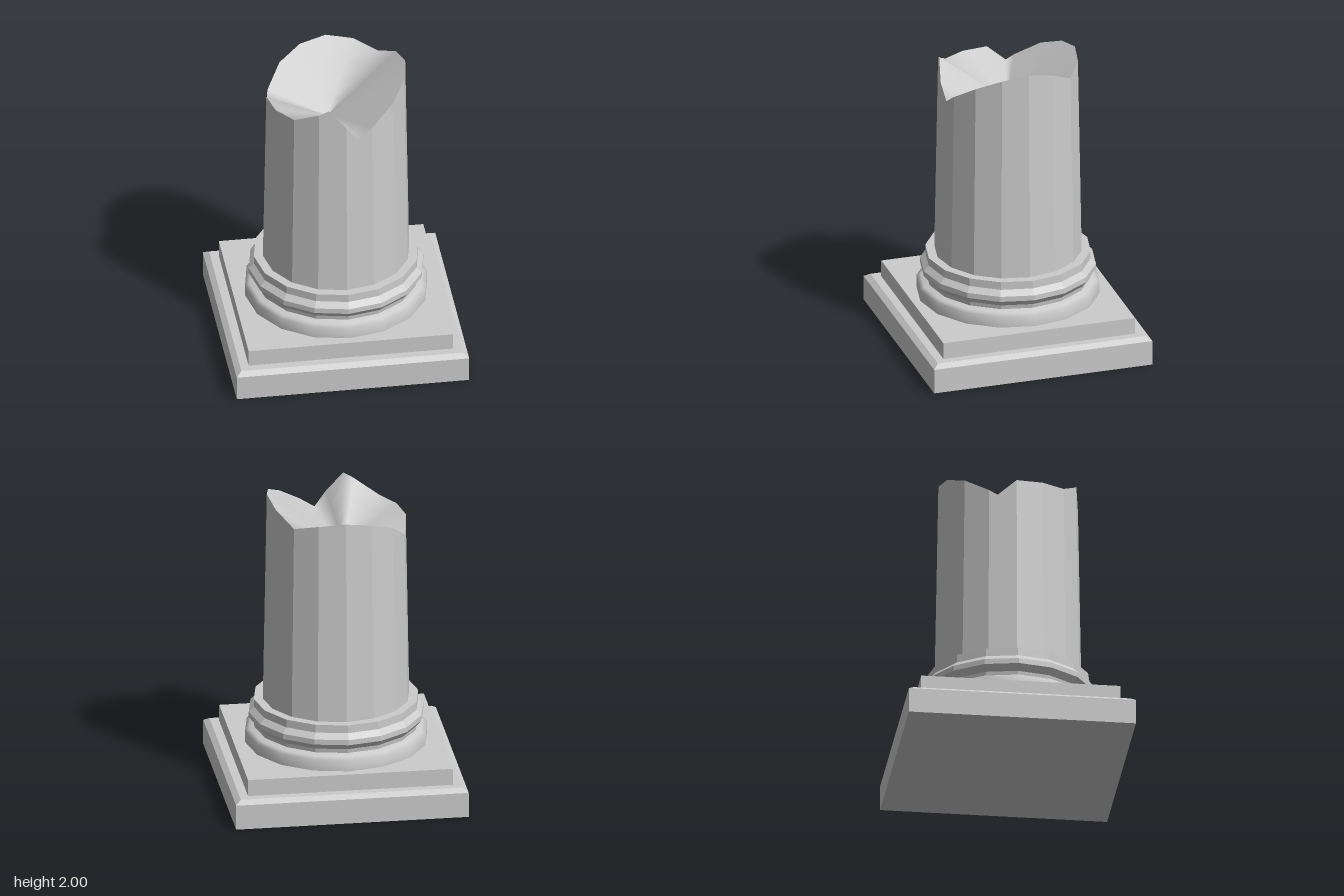
import * as THREE from 'three';

const SIDES = 16;
const smooth = new THREE.MeshStandardMaterial({ color: 0xcccccc });
const flat = new THREE.MeshStandardMaterial({ color: 0xcccccc, flatShading: true });

// Rim of the broken shaft: [angle in degrees from +x towards +z, height]
const RIM = [
  [0, 2.0], [22.5, 1.965], [45, 1.89], [67.5, 1.785], [80.2, 1.717], [90, 1.815],
  [104.3, 1.945], [112.5, 1.91], [135, 1.827], [157.5, 1.817], [180, 1.81],
  [195.6, 1.71], [202.5, 1.745], [225, 1.85], [247.5, 1.915], [270, 1.945],
  [292.5, 1.925], [315, 1.88], [337.5, 1.96],
];

// Point on the tapering 16-sided shaft
function shaftPoint(deg, y) {
  const step = 360 / SIDES;
  const rad = Math.PI / 180;
  const off = (deg % step) - step / 2;
  const r = (0.472 - 0.018 * (y - 0.59)) * Math.cos(step / 2 * rad) / Math.cos(off * rad);
  return new THREE.Vector3(r * Math.cos(deg * rad), y, r * Math.sin(deg * rad));
}

function add(group, name, geometry, material) {
  const mesh = new THREE.Mesh(geometry, material);
  mesh.name = name;
  group.add(mesh);
}

// Box standing at height y whose top face is drawn in by inset
function slab(w, h, d, y, inset = 0) {
  const g = new THREE.BoxGeometry(w, h, d);
  const p = g.attributes.position;
  for (let i = 0; i < p.count; i++) {
    if (p.getY(i) > 0) {
      p.setX(i, p.getX(i) - Math.sign(p.getX(i)) * inset);
      p.setZ(i, p.getZ(i) - Math.sign(p.getZ(i)) * inset);
    }
  }
  g.translate(0, y + h / 2, 0);
  g.computeVertexNormals();
  return g;
}

function turned(profile) {
  return new THREE.LatheGeometry(profile.map(([r, y]) => new THREE.Vector2(r, y)), SIDES);
}

// Stacked rings of points joined into an indexed surface, smooth unless flat shaded
function loft(rings) {
  const n = rings[0].length;
  const index = [];
  for (let k = 0; k + 1 < rings.length; k++) {
    for (let i = 0; i < n; i++) {
      const j = (i + 1) % n;
      const a = k * n + i, b = k * n + j;
      index.push(a, a + n, b, b, a + n, b + n);
    }
  }
  const g = new THREE.BufferGeometry().setFromPoints(rings.flat());
  g.setIndex(index);
  g.computeVertexNormals();
  return g;
}

export function createModel() {
  const model = new THREE.Group();
  model.name = 'brokenColumn';

  // Square plinth: chamfered lower slab and smaller step
  add(model, 'plinthSlab', slab(1.5, 0.165, 1.46, 0), flat);
  add(model, 'plinthChamfer', slab(1.5, 0.025, 1.46, 0.165, 0.035), flat);
  add(model, 'plinthStep', slab(1.32, 0.11, 1.28, 0.19), flat);

  // Rounded cushion under the mouldings
  add(model, 'baseCushion', turned([
    [0.587, 0.3], [0.587, 0.375], [0.56, 0.39], [0.525, 0.402],
  ]), smooth);

  // Angular mouldings
  add(model, 'baseMouldings', turned([
    [0.525, 0.4], [0.53, 0.43], [0.563, 0.47], [0.563, 0.505],
    [0.53, 0.54], [0.53, 0.593], [0.45, 0.593],
  ]), flat);

  // Faceted shaft wall up to the jagged rim
  const rim = RIM.map(([a, y]) => shaftPoint(a, y));
  const foot = RIM.map(([a]) => shaftPoint(a, 0.59));
  add(model, 'shaft', loft([foot, rim]), flat);

  // Hollow fracture surface falling from the rim to a low middle
  const middle = new THREE.Vector3(-0.05, 1.62, -0.01);
  const rings = [0, 0.25, 0.5, 0.75, 0.999].map((t) => rim.map((p) => p.clone().lerp(middle, t)));
  add(model, 'fracture', loft(rings), smooth);

  return model;
}
